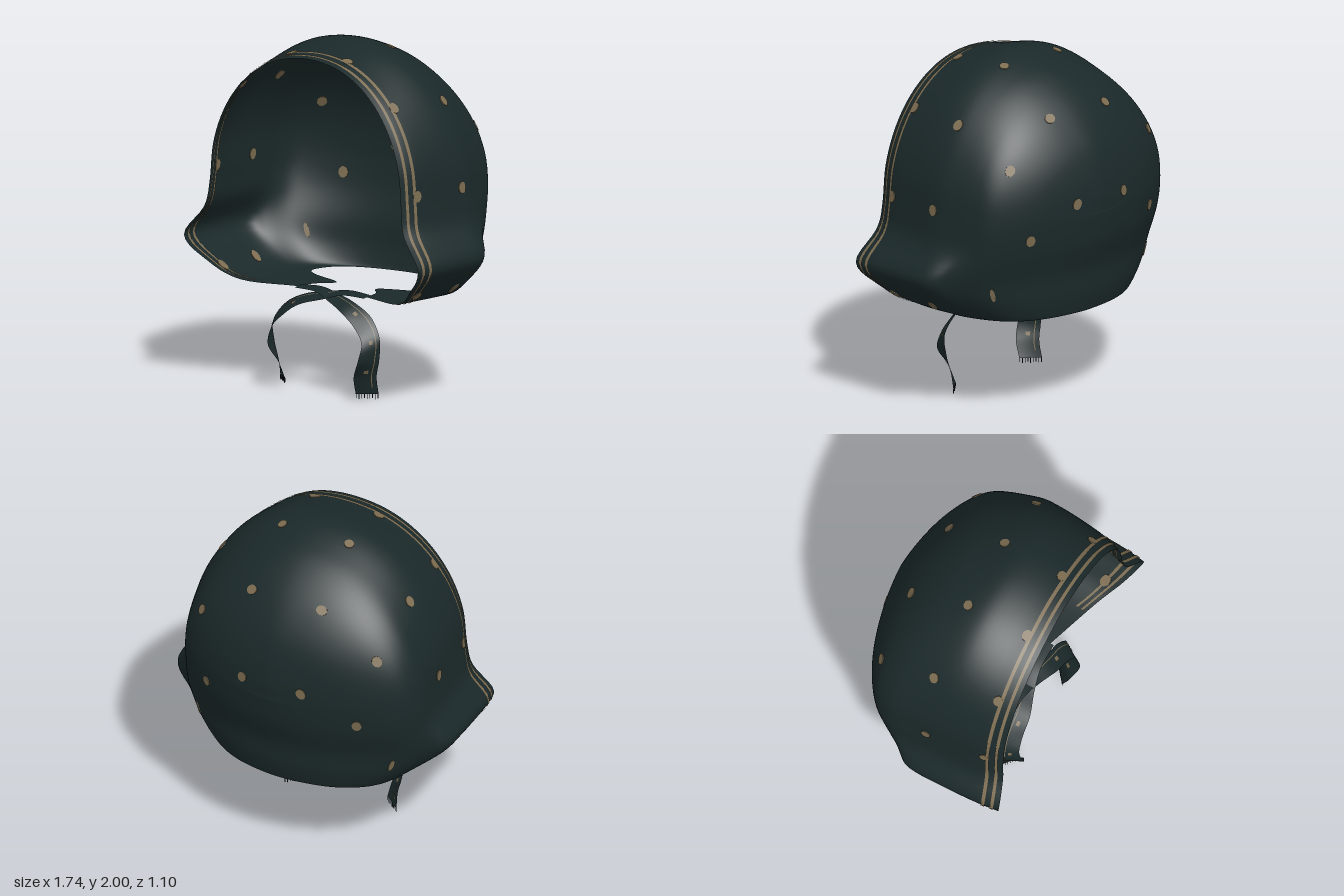
import * as THREE from 'three';
import { mergeVertices } from 'three/addons/utils/BufferGeometryUtils.js';

const cloth = new THREE.MeshStandardMaterial({ color: 0x1b292a, side: THREE.DoubleSide });
cloth.name = 'dark teal cloth';
const gold = new THREE.MeshStandardMaterial({ color: 0x7c6c50, side: THREE.DoubleSide });
gold.name = 'dull gold print';

const V = (x, y, z) => new THREE.Vector3(x, y, z);
const { lerp, smoothstep } = THREE.MathUtils;

// Arches from the face opening to the back seam:
// top z, top y, half width, side z, flare width, flare z, under x, under z, hem x, hem z
const stations = [
  [0.485, 1.925, 0.70, 0.50, 0.845, 0.55, 0.57, 0.39, 0.25, 0.28],
  [0.36, 1.95, 0.74, 0.38, 0.86, 0.42, 0.58, 0.31, 0.22, 0.16],
  [0.12, 2.0, 0.765, 0.15, 0.868, 0.20, 0.59, 0.16, 0.15, 0.05],
  [-0.10, 1.94, 0.775, -0.05, 0.86, -0.02, 0.60, 0.03, 0.37, -0.04],
  [-0.25, 1.85, 0.77, -0.20, 0.785, -0.12, 0.60, -0.10, 0.47, -0.12],
  [-0.38, 1.72, 0.70, -0.32, 0.68, -0.25, 0.55, -0.23, 0.46, -0.24],
  [-0.48, 1.56, 0.52, -0.43, 0.50, -0.36, 0.43, -0.33, 0.38, -0.33],
  [-0.53, 1.40, 0.27, -0.51, 0.27, -0.44, 0.25, -0.40, 0.23, -0.39],
  [-0.55, 1.25, 0, -0.545, 0, -0.47, 0, -0.43, 0, -0.42],
];
const rows = stations.map(([zt, yt, w, zm, wf, zf, xu, zu, hx, hz]) => {
  const pts = [];
  for (let j = 0; j <= 6; j++) {
    const a = (j / 6) * Math.PI / 2;
    pts.push(V(w * Math.sin(a) ** 0.95, 1.15 + (yt - 1.15) * Math.cos(a) ** 0.95, lerp(zt, zm, j / 6)));
  }
  pts.push(V(lerp(w, wf, 0.2), 1.0, lerp(zm, zf, 0.3)), V(wf, 0.83, zf));
  pts.push(V(lerp(wf, xu, 0.4), 0.69, lerp(zf, zu, 0.4)), V(xu, 0.585, zu), V(hx, 0.57, hz));
  return pts;
});
const LAST = stations.length - 1, END = rows[0].length - 1;

const flip = (p) => V(-p.x, p.y, p.z);
// Control point lookup, mirrored past the seam and the crown, extended past open edges
function control(i, j) {
  if (i > LAST) return flip(control(2 * LAST - i, j));
  if (i < 0) return control(0, j).multiplyScalar(2).sub(control(1, j));
  if (j < 0) return flip(control(i, -j));
  if (j > END) return control(i, END).multiplyScalar(2).sub(control(i, END - 1));
  return rows[i][j].clone();
}
function spline(get, t, max) {
  const i = Math.min(Math.floor(t), max - 1), f = t - i;
  const [a, b, c, d] = [get(i - 1), get(i), get(i + 1), get(i + 2)];
  const w = [
    (-f + 2 * f * f - f ** 3) / 2, (2 - 5 * f * f + 3 * f ** 3) / 2,
    (f + 4 * f * f - 3 * f ** 3) / 2, (f ** 3 - f * f) / 2];
  return a.multiplyScalar(w[0]).addScaledVector(b, w[1]).addScaledVector(c, w[2]).addScaledVector(d, w[3]);
}
// Hood surface: v runs front to back, s runs from one hem over the crown to the other
function hoodPoint(v, s) {
  const p = spline((i) => spline((j) => control(i, j), Math.abs(s), END), v, LAST);
  if (s < 0) return flip(p);
  // The left side sits slightly flatter, most of all at the back
  p.x *= 1 - 0.025 * smoothstep(p.y, 0.85, 1.1) - 0.065 * smoothstep(-p.z, -0.03, 0.23);
  return p;
}
// Directions on the hood: along the arch, and outward
function hoodFrame(v, s) {
  const e = 0.02;
  const dv = hoodPoint(Math.min(v + e, LAST), s).sub(hoodPoint(Math.max(v - e, 0), s));
  const along = hoodPoint(v, Math.min(s + e, END)).sub(hoodPoint(v, Math.max(s - e, -END))).normalize();
  return { along, normal: dv.cross(along).normalize() };
}

// Grid of faces over a function of (a, b) in 0..1
function sheet(fn, na, nb) {
  const pos = [], index = [];
  for (let a = 0; a <= na; a++) for (let b = 0; b <= nb; b++) pos.push(...fn(a / na, b / nb).toArray());
  for (let a = 0; a < na; a++) for (let b = 0; b < nb; b++) {
    const k = a * (nb + 1) + b, m = k + nb + 1;
    index.push(k, m, k + 1, m, m + 1, k + 1);
  }
  let g = new THREE.BufferGeometry();
  g.setAttribute('position', new THREE.Float32BufferAttribute(pos, 3));
  g.setIndex(index);
  g = mergeVertices(g, 1e-5);
  g.computeVertexNormals();
  return g;
}
function add(parent, name, geometry, material) {
  const m = new THREE.Mesh(geometry, material);
  m.name = name;
  parent.add(m);
  return m;
}

// Tie for the +x side: centre line and half-width vectors
const tiePath = [
  V(-0.25, 0.57, 0.27), V(-0.1, 0.57, 0.27), V(0.03, 0.54, 0.295), V(0.16, 0.505, 0.33), V(0.275, 0.435, 0.34),
  V(0.345, 0.34, 0.357), V(0.34, 0.23, 0.37), V(0.30, 0.13, 0.35), V(0.29, 0.03, 0.32)];
const tieWidth = [
  V(0, 0.005, -0.03), V(0, 0.01, -0.033), V(0.005, 0.018, -0.037), V(0.01, 0.024, -0.045), V(0.025, 0.026, -0.045),
  V(0.03, 0.01, -0.044), V(0.027, 0, -0.062), V(0.042, 0, -0.05), V(0.05, 0, -0.04)];

function makeTie(side, lift, spread) {
  const tie = new THREE.Group();
  tie.name = side > 0 ? 'leftTie' : 'rightTie';
  const path = new THREE.CatmullRomCurve3(tiePath), width = new THREE.CatmullRomCurve3(tieWidth);
  const at = (t, k, off = 0) => {
    const w = width.getPoint(t);
    const n = path.getTangent(t).cross(w).normalize();
    const p = path.getPoint(t).addScaledVector(w, k).addScaledVector(n, off);
    return V((p.x + spread * t) * side, p.y + lift * t, p.z);
  };
  add(tie, 'ribbon', sheet((t, b) => at(t, b * 2 - 1), 56, 4), cloth);
  // Thin printed line and small marks on both faces
  for (const off of [-0.003, 0.003]) {
    add(tie, 'ribbonLine', sheet((t, b) => at(0.2 + t * 0.75, 0.5 + b * 0.08, off), 56, 1), gold);
    for (const t0 of [0.42, 0.62, 0.82])
      add(tie, 'ribbonMark', sheet((t, b) => at(t0 + t * 0.025, b * 0.4 - 0.2, off), 2, 2), gold);
  }
  // Frayed end
  for (let i = 0; i < 9; i++) {
    const len = 0.022 + 0.008 * ((i * 5) % 3) / 2;
    const thread = add(tie, 'fringeThread', new THREE.BoxGeometry(0.003, len, 0.003), cloth);
    thread.position.copy(at(1, -0.95 + i * 0.2375));
    thread.position.y -= len / 2;
  }
  return tie;
}

export function createModel() {
  const bonnet = new THREE.Group();
  bonnet.name = 'bonnet';

  const nv = 64, ns = 110;
  add(bonnet, 'hood', sheet((a, b) => hoodPoint(a * LAST, (b * 2 - 1) * END), nv, ns), cloth);

  // Border stripes beside the face opening, on both faces of the cloth
  for (const [v0, v1] of [[0.27, 0.43], [0.7, 0.84]])
    for (const off of [-0.0045, 0.0045])
      add(bonnet, 'borderStripe', sheet((a, b) => {
        const v = lerp(v0, v1, a), s = (b * 2 - 1) * END * 0.93;
        return hoodPoint(v, s).addScaledVector(hoodFrame(v, s).normal, off);
      }, 1, ns), gold);

  // Printed spots on both halves, set on the nearest point of the hood: x, y, z, height, width
  const spots = [
    [0.2, 1.97, 0, 1, 1], [0.2, 1.74, -0.35], [0.59, 1.71, 0], [0.52, 1.48, -0.335], [0.185, 1.26, -0.53],
    [0.76, 1.21, 0.05], [0.455, 1.09, -0.42], [0.58, 0.77, -0.25, 1.5, 0.5], [0.7, 0.65, 0.08, 1.5, 0.95],
    [0.19, 1.93, 0.375], [0.52, 1.69, 0.375], [0.73, 1.23, 0.39], [0.7, 0.66, 0.385, 1.4, 1]];
  const disc = new THREE.CylinderGeometry(0.028, 0.028, 0.009, 12);
  for (const [x, y, z, tall = 1.18, wide = 1] of spots) {
    const target = V(x, y, z);
    let best = Infinity, bv = 0, bs = 0;
    for (let i = 0; i <= 80; i++) for (let j = 0; j <= 66; j++) {
      const v = (i / 80) * LAST, s = (j / 66) * END;
      const d = hoodPoint(v, s).distanceToSquared(target);
      if (d < best) [best, bv, bs] = [d, v, s];
    }
    for (const side of [1, -1]) {
      const { along, normal } = hoodFrame(bv, bs * side);
      const spot = add(bonnet, 'spot', disc, gold);
      spot.position.copy(hoodPoint(bv, bs * side));
      spot.quaternion.setFromRotationMatrix(
        new THREE.Matrix4().makeBasis(along, normal, along.clone().cross(normal)));
      spot.scale.set(tall, 1, wide);
    }
  }

  bonnet.add(makeTie(1, 0, 0), makeTie(-1, 0.025, 0.03));
  return bonnet;
}
